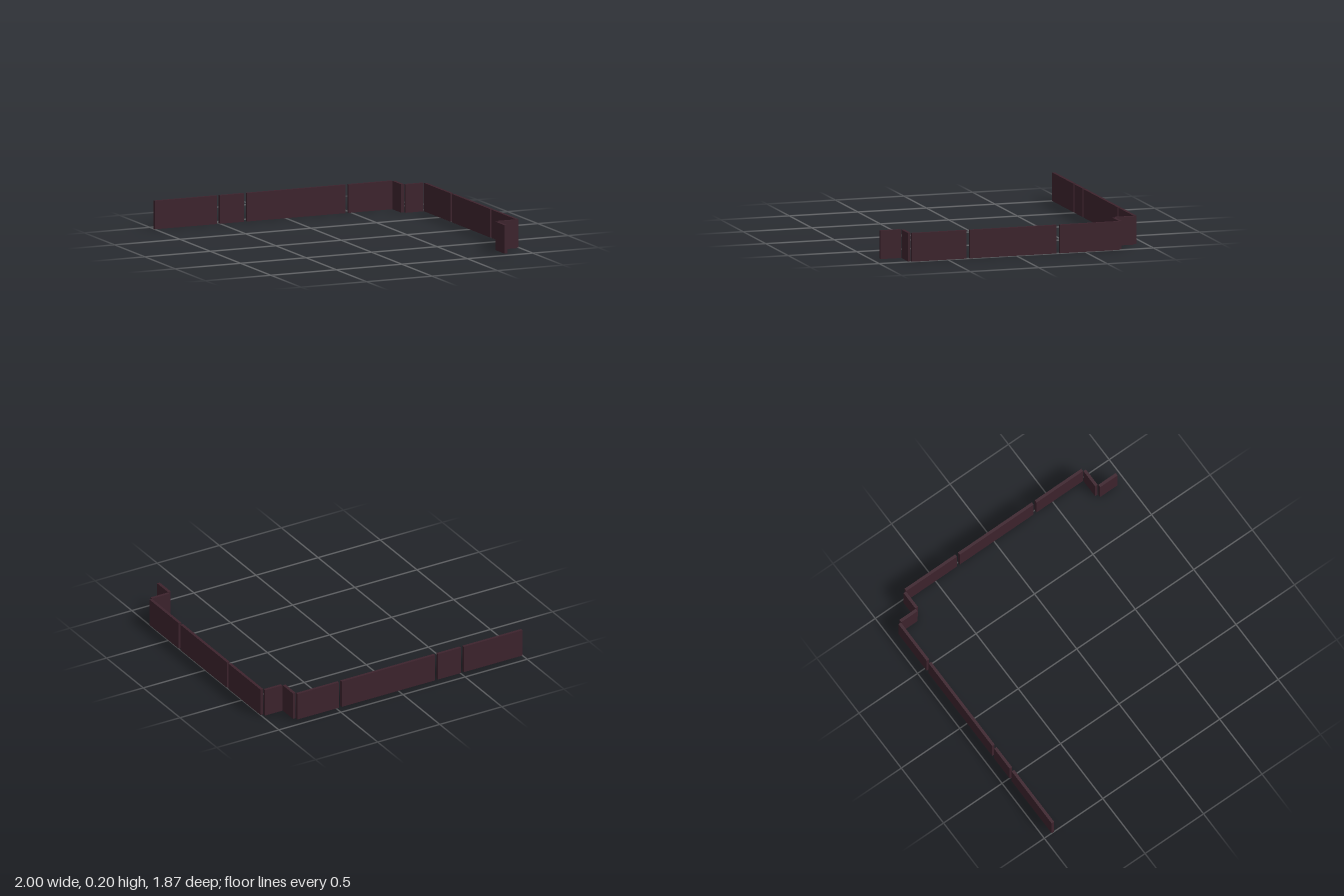
import * as THREE from 'three';

export function createModel() {
  const model = new THREE.Group();
  const darkPlum = new THREE.MeshStandardMaterial({ color: 0x3d232d });
  darkPlum.name = 'darkPlum';
  const height = 0.2;

  // One upright wall panel filling the given plan rectangle
  function panel(name, x0, x1, z0, z1) {
    const mesh = new THREE.Mesh(new THREE.BoxGeometry(x1 - x0, height, z1 - z0), darkPlum);
    mesh.name = name;
    mesh.position.set((x0 + x1) / 2, height / 2, (z0 + z1) / 2);
    model.add(mesh);
  }

  // Long back run, with narrow gaps between panels
  [[-1, -0.527], [-0.503, -0.319], [-0.296, 0.456], [0.479, 0.813]]
    .forEach(([a, b], i) => panel('backPanel' + (i + 1), a, b, -0.937, -0.916));

  // Long run down the left side
  [[-0.75, -0.317], [-0.293, 0.339], [0.363, 0.761]]
    .forEach(([a, b], i) => panel('sidePanel' + (i + 1), 0.979, 1, a, b));

  // Stepped corner at the back
  panel('backCornerReturn', 0.813, 0.835, -0.913, -0.774);
  panel('backCornerStep', 0.838, 0.977, -0.774, -0.753);

  // Stepped corner at the front
  panel('frontCornerStep', 0.838, 0.977, 0.763, 0.784);
  panel('frontCornerReturn', 0.813, 0.835, 0.787, 0.936);

  return model;
}
